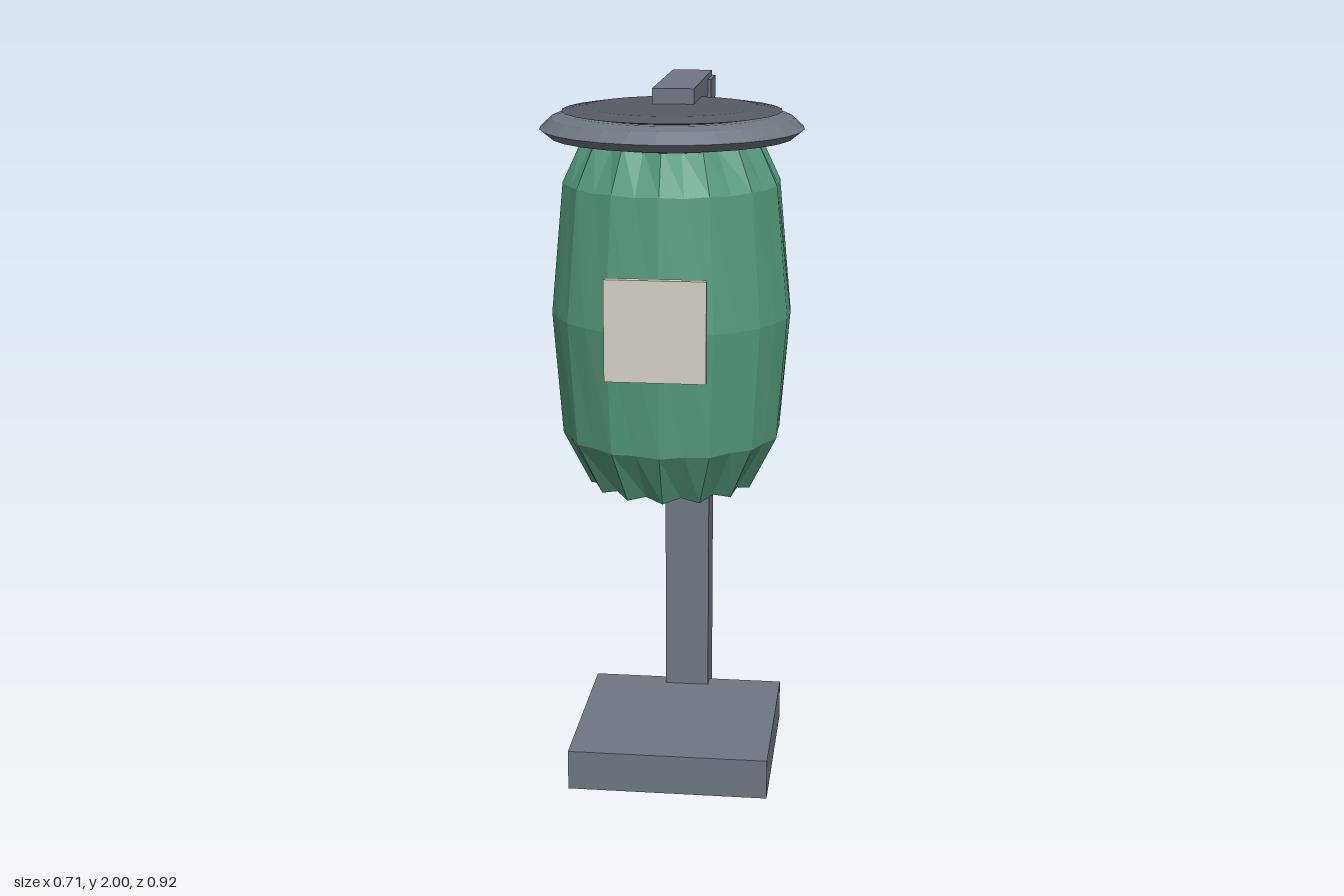
import * as THREE from 'three';

const SIDES = 28;
const AXIS_Z = 0.07;

const paint = (color) => new THREE.MeshStandardMaterial({ color, flatShading: true });

export function createModel() {
  const model = new THREE.Group();
  model.name = 'hangingBin';

  const steel = paint(0x6f7782);
  const darkSteel = paint(0x565b63);
  const green = paint(0x559a7c);
  const cream = paint(0xd4d0c6);

  const add = (name, geometry, material) => {
    const mesh = new THREE.Mesh(geometry, material);
    mesh.name = name;
    model.add(mesh);
    return mesh;
  };

  // Box given by its minimum and maximum corners
  const box = (name, [x0, y0, z0], [x1, y1, z1], material) => {
    const geometry = new THREE.BoxGeometry(x1 - x0, y1 - y0, z1 - z0);
    add(name, geometry, material)
      .position.set((x0 + x1) / 2, (y0 + y1) / 2, (z0 + z1) / 2);
  };

  // Turned part from [radius, height] pairs, listed bottom to top
  const turned = (profile) =>
    new THREE.LatheGeometry(profile.map(([r, y]) => new THREE.Vector2(r, y)), SIDES);

  // Stand
  box('base', [-0.288, 0, -0.372], [0.288, 0.117, 0.205], steel);
  box('post', [-0.066, 0.063, -0.458], [0.066, 1.985, -0.325], steel);
  box('arm', [-0.057, 1.89, -0.448], [0.057, 2, 0.047], steel);

  // Barrel, lightly fluted, with the fluting strongest at its ends
  const barrel = turned([
    [0, 0.892], [0.22, 0.915], [0.3, 1.06], [0.328, 1.4],
    [0.292, 1.755], [0.23, 1.875], [0, 1.89],
  ]);
  const p = barrel.attributes.position;
  for (let i = 0; i < p.count; i++) {
    const x = p.getX(i), y = p.getY(i), z = p.getZ(i);
    if (Math.hypot(x, z) < 0.01) continue;
    const wave = Math.cos(14 * Math.atan2(x, z));
    const end = Math.abs(y - 1.4) / 0.49;
    const k = 1 + wave * (0.006 + 0.03 * end ** 4);
    p.setXYZ(i, x * k, y + Math.sign(y - 1.4) * wave * 0.007 * end ** 4, z * k);
  }
  add('barrel', barrel, green).position.z = AXIS_Z;

  // Lid rim and the dark disc set in its top
  add('lid', turned([
    [0, 1.862], [0.23, 1.862], [0.33, 1.878], [0.357, 1.9],
    [0.325, 1.929], [0.28, 1.938], [0, 1.938],
  ]), steel).position.z = AXIS_Z;
  add('lidDisc', turned([
    [0, 1.934], [0.23, 1.934], [0.297, 1.946], [0.23, 1.957], [0, 1.959],
  ]), darkSteel).position.z = AXIS_Z;

  // Front plate
  box('plate', [-0.133, 1.29, 0.437], [0.133, 1.56, 0.459], cream);

  return model;
}
